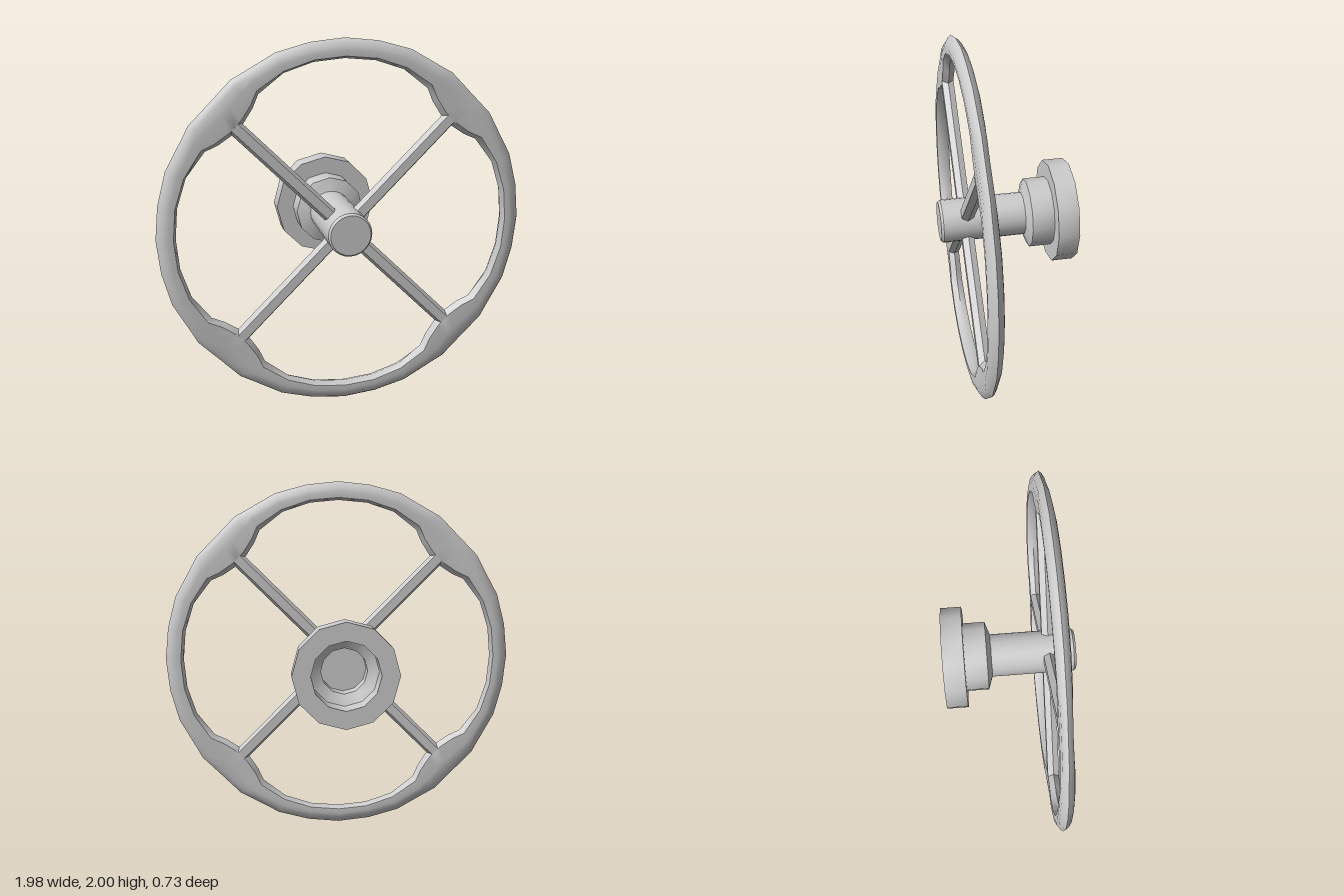
import * as THREE from 'three';
import { toCreasedNormals } from 'three/addons/utils/BufferGeometryUtils.js';

const RIM_Z = 0.212; // plane of the wheel
const material = new THREE.MeshStandardMaterial({ color: 0xcccccc });

function part(name, geometry, crease) {
  const mesh = new THREE.Mesh(toCreasedNormals(geometry, crease), material);
  mesh.name = name;
  return mesh;
}

// Profile of [radius, z] turned around the z axis
function turned(name, profile, sides) {
  const geometry = new THREE.LatheGeometry(profile.map(([r, z]) => new THREE.Vector2(r, z)), sides);
  return part(name, geometry.rotateX(Math.PI / 2), 0.6);
}

// One eighth of the rim: [degrees from spoke, inner radius, outer radius, half thickness]
const EIGHTH = [
  [0, 0.785, 0.984, 0.033],
  [3.2, 0.79, 0.986, 0.033],
  [9, 0.816, 0.997, 0.034],
  [13.4, 0.857, 0.99, 0.036],
  [24, 0.89, 1.0, 0.038],
  [34.5, 0.897, 0.998, 0.039],
  [45, 0.897, 1.0, 0.039],
];

function rimGeometry() {
  // Mirror the eighth around each spoke, then repeat for four spokes
  const quarter = [
    ...EIGHTH.slice(1, -1).reverse().map(([a, ...rest]) => [-a, ...rest]),
    ...EIGHTH,
  ];
  const sections = [];
  for (let s = 0; s < 4; s++) {
    for (const [offset, inner, outer, half] of quarter) {
      const angle = THREE.MathUtils.degToRad(45 + 90 * s + offset);
      const slope = offset > -14 && offset < 14 ? 0.025 : 0.014;
      const width = outer - inner;
      const front = [
        [outer - 0.012, half * 0.42],
        [outer - 0.035, half * 0.85],
        [outer - Math.max(0.06, width * 0.45), half],
        [inner + slope, half * 0.97],
      ];
      const loop = [[outer, 0], ...front, [inner, 0], ...front.map(([r, z]) => [r, -z]).reverse()];
      sections.push(loop.map(([r, z]) => [r * Math.cos(angle) * 0.99, r * Math.sin(angle), RIM_Z + z]));
    }
  }
  const n = sections[0].length;
  const index = [];
  for (let i = 0; i < sections.length; i++) {
    const next = (i + 1) % sections.length;
    for (let j = 0; j < n; j++) {
      const k = (j + 1) % n;
      const a = i * n + j, b = next * n + j, c = next * n + k, d = i * n + k;
      index.push(a, b, c, a, c, d);
    }
  }
  const geometry = new THREE.BufferGeometry();
  geometry.setAttribute('position', new THREE.Float32BufferAttribute(sections.flat(2), 3));
  geometry.setIndex(index);
  return geometry;
}

// Six-sided bar running along +x from the hub to the rim
function spokeGeometry() {
  const shape = new THREE.Shape();
  [[0.04, 0], [0.024, 0.033], [-0.024, 0.033], [-0.04, 0], [-0.024, -0.033], [0.024, -0.033]]
    .forEach(([x, y], i) => (i ? shape.lineTo(x, y) : shape.moveTo(x, y)));
  shape.closePath();
  const geometry = new THREE.ExtrudeGeometry(shape, { depth: 0.75, bevelEnabled: false });
  return geometry.translate(0, 0, 0.06).rotateY(Math.PI / 2).rotateX(Math.PI / 2);
}

export function createModel() {
  const group = new THREE.Group();
  group.name = 'handWheel';
  const wheel = new THREE.Group();
  wheel.name = 'wheel';
  wheel.position.y = 1;
  group.add(wheel);

  wheel.add(part('rim', rimGeometry(), 0.9));

  for (let s = 0; s < 4; s++) {
    const spoke = part('spoke', spokeGeometry(), 0.3);
    spoke.position.z = RIM_Z;
    spoke.rotation.z = Math.PI / 4 + (s * Math.PI) / 2;
    wheel.add(spoke);
  }

  // Round shaft with a small chamfer at the front
  wheel.add(turned('shaft', [[0, -0.12], [0.118, -0.12], [0.118, 0.345], [0.108, 0.358], [0, 0.358]], 24));

  // Stepped collar with a stepped socket open at the back
  wheel.add(turned('collar', [
    [0, -0.14], [0.125, -0.14], [0.125, -0.22], [0.185, -0.25], [0.185, -0.367],
    [0.284, -0.367], [0.284, -0.251], [0.191, -0.251], [0.191, -0.13], [0.118, -0.105],
  ], 12));

  return group;
}
